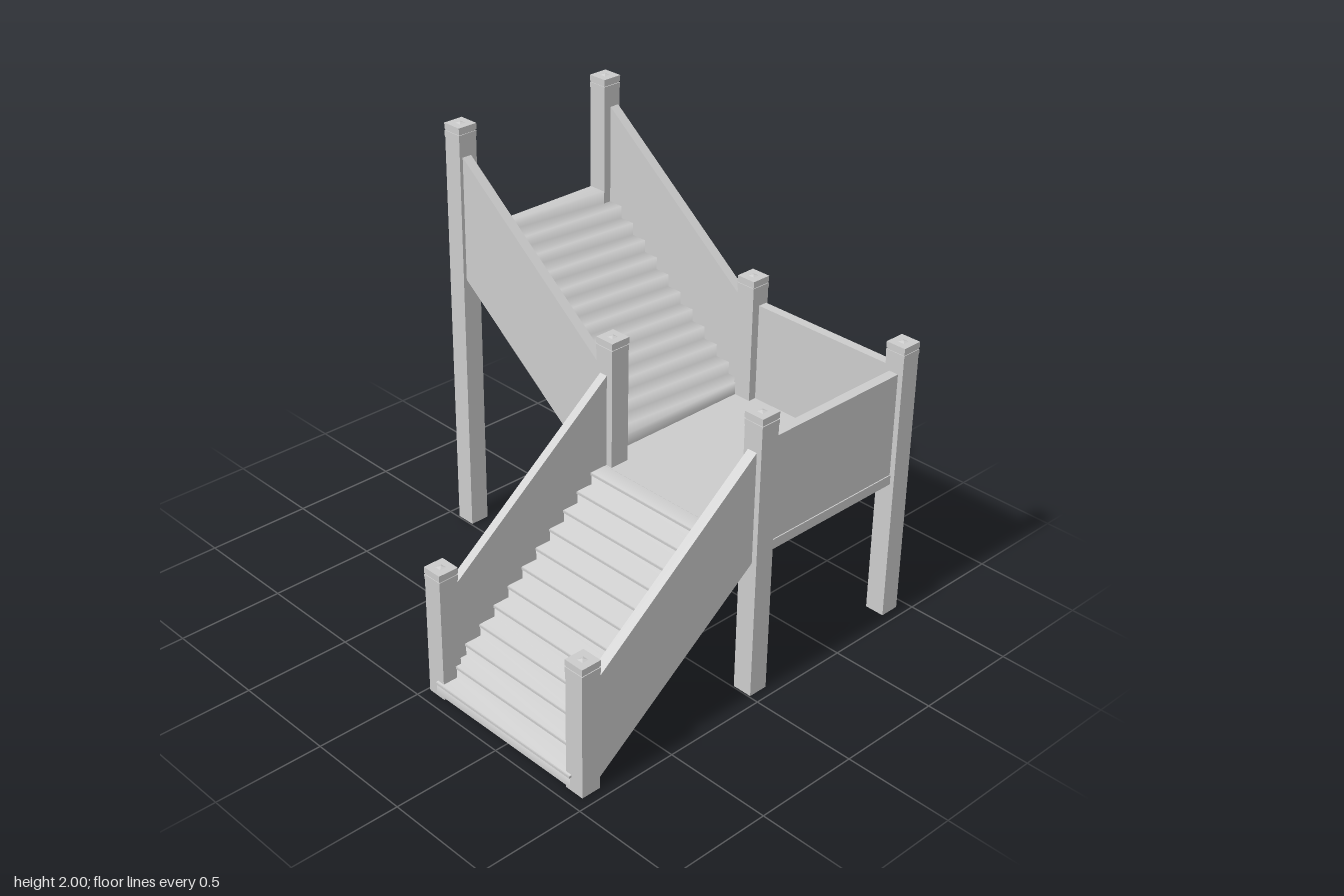
import * as THREE from 'three';

const mat = new THREE.MeshStandardMaterial({ color: 0xcccccc, flatShading: true, side: THREE.DoubleSide });
const smoothMat = new THREE.MeshStandardMaterial({ color: 0xcccccc, side: THREE.DoubleSide });

function add(parent, name, geometry, x = 0, y = 0, z = 0, material = mat) {
  const m = new THREE.Mesh(geometry, material);
  m.name = name;
  m.position.set(x, y, z);
  parent.add(m);
  return m;
}

// Box given by its minimum and maximum corners
function slab(parent, name, [x0, y0, z0], [x1, y1, z1]) {
  return add(parent, name, new THREE.BoxGeometry(x1 - x0, y1 - y0, z1 - z0),
    (x0 + x1) / 2, (y0 + y1) / 2, (z0 + z1) / 2);
}

// Flat outline in x/y extruded from z0 to z1
function board(parent, name, points, z0, z1) {
  const shape = new THREE.Shape(points.map(([x, y]) => new THREE.Vector2(x, y)));
  const geometry = new THREE.ExtrudeGeometry(shape, { depth: z1 - z0, bevelEnabled: false });
  return add(parent, name, geometry, 0, 0, z0);
}

// Square post, open at the foot, with a grooved cap and a small pyramid
function post(parent, name, x, z, h) {
  const g = new THREE.Group();
  g.name = name;
  g.position.set(x, 0, z);
  const block = (part, w, y0, y1) => slab(g, part, [-w / 2, y0, -w / 2], [w / 2, y1, w / 2]);
  const r = 0.094 * Math.SQRT1_2, shaftTop = h - 0.065;
  const shaft = add(g, 'postShaft', new THREE.CylinderGeometry(r, r, shaftTop, 4, 1, true), 0, shaftTop / 2, 0);
  shaft.rotation.y = Math.PI / 4;
  block('postCollar', 0.097, shaftTop, h - 0.04);
  block('postNeck', 0.09, h - 0.04, h - 0.034);
  block('postCap', 0.097, h - 0.034, h - 0.006);
  const tip = add(g, 'postTip', new THREE.ConeGeometry(0.022, 0.006, 4), 0, h - 0.003, 0);
  tip.rotation.y = Math.PI / 4;
  parent.add(g);
}

// Twelve steps along +x from (x, y): a softly shaded folded sheet with a board under each tread
function steps(parent, x, y, overhang, z0, z1) {
  const run = 0.079, rise = 0.0596, count = 12;
  const positions = [], index = [];
  const corner = (px, py) => positions.push(px, py, z0, px, py, z1);
  corner(x, y);
  for (let i = 0; i < count; i++) {
    const nose = x + i * run, top = y + (i + 1) * rise;
    corner(nose, top);
    corner(nose + run, top);
    slab(parent, 'treadBoard', [nose - overhang, top - 0.012, z0], [nose + run + 0.006, top - 0.001, z1]);
  }
  for (let i = 0; i < count * 2; i++) {
    const a = i * 2;
    index.push(a, a + 1, a + 2, a + 1, a + 3, a + 2);
  }
  const geometry = new THREE.BufferGeometry();
  geometry.setAttribute('position', new THREE.Float32BufferAttribute(positions, 3));
  geometry.setIndex(index);
  geometry.computeVertexNormals();
  add(parent, 'treadsAndRisers', geometry, 0, 0, 0, smoothMat);
}

export function createModel() {
  const model = new THREE.Group();
  model.name = 'staircase';

  // Posts
  const [xa, xb, xc] = [-0.895, 0.054, 0.902];
  const [za, zb, zc] = [-0.893, 0.06, 0.905];
  for (const z of [zb, zc]) {
    post(model, 'lowerPost', xa, z, 0.625);
    post(model, 'landingPost', xb, z, 1.335);
    post(model, 'landingPost', xc, z, 1.335);
  }
  for (const x of [xb, xc]) post(model, 'upperPost', x, za, 2);

  // Landing with guard panels on its two closed sides
  slab(model, 'landingFloor', [0, 0.67, 0.015], [0.933, 0.735, 0.922]);
  slab(model, 'frontGuard', [0.06, 0.715, 0.88], [0.9, 1.2, 0.927]);
  slab(model, 'frontSkirt', [0.06, 0.67, 0.885], [0.9, 0.715, 0.932]);
  slab(model, 'sideGuard', [0.895, 0.735, 0.06], [0.94, 1.2, 0.9]);

  // Lower flight, climbing along +x
  const lower = new THREE.Group();
  lower.name = 'lowerFlight';
  model.add(lower);
  steps(lower, -0.95, 0.02, 0.005, 0.07, 0.89);
  const lowerSide = [[-0.86, 0], [0.01, 0.655], [0.01, 1.17], [-0.86, 0.492]];
  for (const [z0, z1] of [[0.035, 0.075], [0.88, 0.927]]) board(lower, 'lowerSidePanel', lowerSide, z0, z1);

  // Upper flight, built along +x and turned to climb towards the back
  const upper = new THREE.Group();
  upper.name = 'upperFlight';
  upper.rotation.y = Math.PI / 2;
  model.add(upper);
  steps(upper, -0.02, 0.735, -0.003, 0.065, 0.905);
  const upperSide = [[-0.01, 0.632], [0.86, 1.287], [0.86, 1.867], [-0.01, 1.193]];
  for (const [z0, z1] of [[0.023, 0.07], [0.893, 0.94]]) board(upper, 'upperSidePanel', upperSide, z0, z1);

  // Closing plate under the foot of the flight, and the beam and ledge at its top
  board(upper, 'footPlate', [[-0.015, 0.626], [0.12, 0.78], [0.12, 0.79], [-0.015, 0.67]], 0.065, 0.9);
  slab(upper, 'topBeam', [0.852, 1.39, 0.06], [0.938, 1.449, 0.9]);
  slab(upper, 'topLedge', [0.85, 1.378, 0.05], [0.955, 1.391, 0.91]);

  return model;
}
